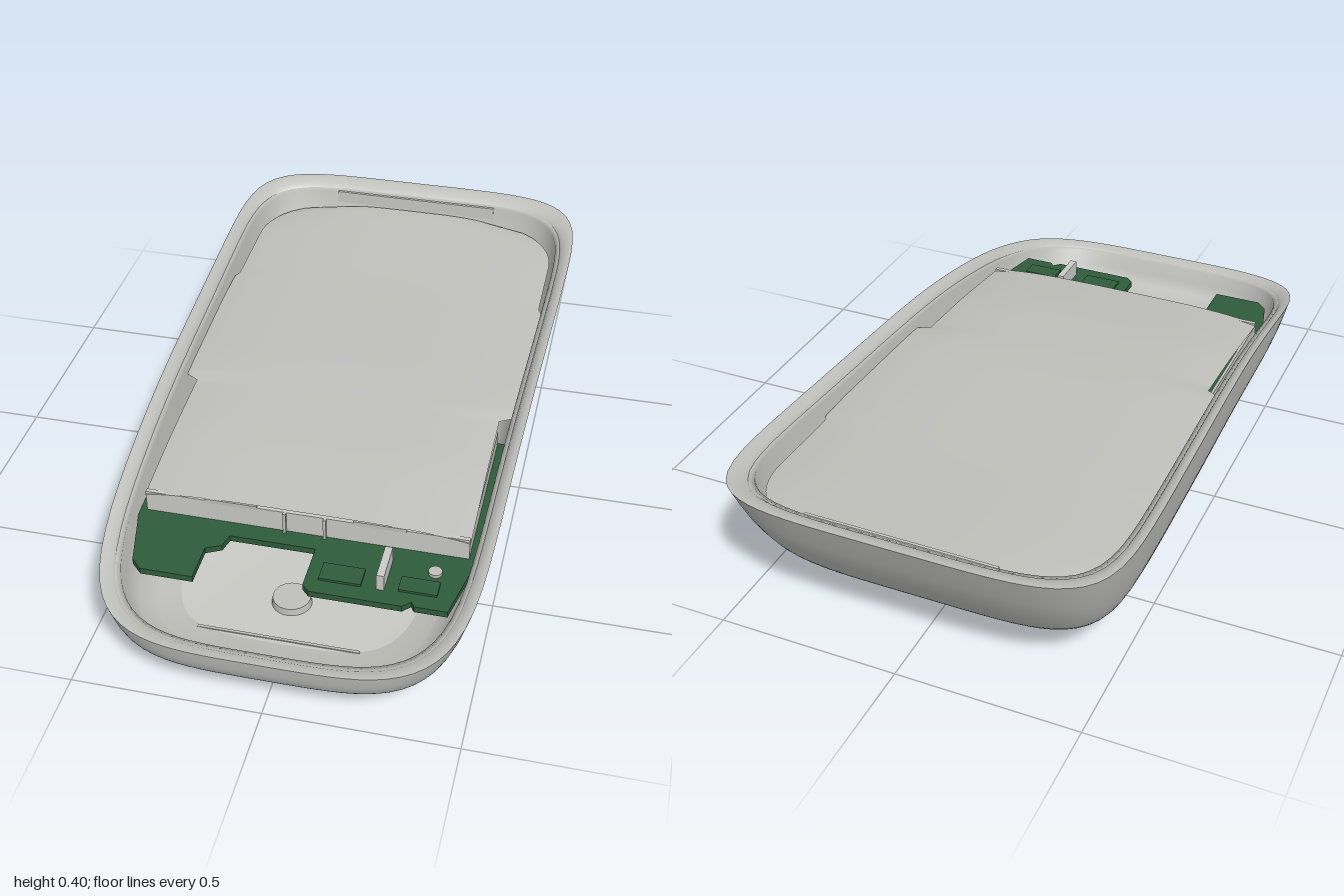
import * as THREE from 'three';

const mat = (name, color, side = THREE.FrontSide) => {
  const m = new THREE.MeshStandardMaterial({ color, side });
  m.name = name;
  return m;
};

// Piecewise-linear lookup through [position, value] pairs, smoothed at the knots
const lookup = (pairs) => {
  const curve = (z) => {
    if (z <= pairs[0][0]) return pairs[0][1];
    for (let i = 1; i < pairs.length; i++) {
      const [z0, y0] = pairs[i - 1], [z1, y1] = pairs[i];
      if (z <= z1) return y0 + ((y1 - y0) * (z - z0)) / (z1 - z0);
    }
    return pairs[pairs.length - 1][1];
  };
  return (z) => (curve(z - 0.08) + curve(z - 0.04) * 2 + curve(z) * 2 + curve(z + 0.04) * 2 + curve(z + 0.08)) / 8;
};

const rimY = lookup([[-1.1, 0.406], [-0.85, 0.386], [-0.5, 0.373], [0, 0.358], [0.2, 0.346],
  [0.4, 0.319], [0.6, 0.279], [0.8, 0.225], [1.1, 0.143]]);
const floorY = lookup([[-1, 0.115], [-0.8, 0.08], [-0.6, 0.053], [-0.4, 0.035], [0, 0.019], [0.6, 0.025], [1, 0.044]]);
const trayY = lookup([[-0.95, 0.335], [-0.5, 0.325], [0, 0.32], [0.3, 0.303], [0.65, 0.262]]);

// Rounded, tapered plan outline sampled evenly around a square path; squarer at the back
function planOutline(perSide = 28) {
  const pts = [];
  for (let i = 0; i < perSide * 4; i++) {
    const side = Math.floor(i / perSide), t = ((i % perSide) / perSide) * 2 - 1;
    const [px, pz] = [[1, t], [-t, 1], [-1, -t], [t, -1]][side];
    const [ex, ez] = pz > 0 ? [4, 8] : [5, 10];
    let lo = 0.5, hi = 1;
    for (let k = 0; k < 24; k++) {
      const r = (lo + hi) / 2;
      if (Math.abs(r * px) ** ex + Math.abs(r * pz) ** ez > 1) hi = r; else lo = r;
    }
    const z = lo * pz;
    pts.push([lo * px * (0.521 - 0.03 * z), z]);
  }
  return pts;
}

// Adds in-between levels along a smooth curve
function refine(levels, steps = 4) {
  const spline = new THREE.CubicInterpolant(levels.map((_, i) => i), levels.flat(), levels[0].length);
  return Array.from({ length: (levels.length - 1) * steps + 1 }, (_, i) => Array.from(spline.evaluate(i / steps)));
}

// Rings through levels of [side scale, front scale, back scale, height fraction, lift]
function loft(levels, inward) {
  const outline = planOutline(), n = outline.length, pos = [], idx = [];
  for (const [sx, sf, sb, h, lift = 0] of levels) {
    for (const [x, z] of outline) {
      const zz = z * (z > 0 ? sf : sb), base = floorY(zz) + lift;
      pos.push(x * sx, base + h * (rimY(z) - base), zz);
    }
  }
  for (let l = 0; l < levels.length - 1; l++) {
    for (let i = 0; i < n; i++) {
      const a = l * n + i, an = l * n + ((i + 1) % n), b = a + n, bn = an + n;
      if (inward) idx.push(a, b, an, an, b, bn);
      else idx.push(a, an, b, an, bn, b);
    }
  }
  return surface(pos, idx);
}

function surface(pos, idx) {
  const g = new THREE.BufferGeometry();
  g.setAttribute('position', new THREE.Float32BufferAttribute(pos, 3));
  g.setIndex(idx);
  g.computeVertexNormals();
  return g;
}

// Gently crowned cover, narrower at the front and rounded at the back
function trayGeometry() {
  const pos = [], idx = [], rows = 60, cols = 20;
  for (let r = 0; r <= rows; r++) {
    const z = -0.925 + 1.475 * (r / rows);
    const corner = Math.max(0, (-0.72 - z) / 0.205);
    const side = z > 0.07 ? 0.437 : z > -0.48 ? 0.482 : 0.472;
    const w = side - 0.2 * (1 - Math.sqrt(Math.max(0, 1 - corner * corner)));
    for (let c = 0; c <= cols; c++) {
      const u = (c / cols) * 2 - 1;
      pos.push(u * w, trayY(z) - 0.02 * u ** 4, z);
    }
  }
  const n = cols + 1;
  for (let r = 0; r < rows; r++) {
    for (let c = 0; c < cols; c++) {
      const a = r * n + c;
      idx.push(a, a + n, a + 1, a + 1, a + n, a + n + 1);
    }
  }
  return surface(pos, idx);
}

export function createModel() {
  const model = new THREE.Group();
  const grey = mat('shell grey', 0xbfc0bc, THREE.DoubleSide);
  const pale = mat('pale inner grey', 0xcacbc7, THREE.DoubleSide);
  const green = mat('board green', 0x2f5c3b);

  const add = (name, geo, material, x = 0, y = 0, z = 0) => {
    const m = new THREE.Mesh(geo, material);
    m.name = name;
    m.position.set(x, y, z);
    model.add(m);
  };
  const box = (name, material, w, h, d, x, y, z) =>
    add(name, new THREE.BoxGeometry(w, h, d), material, x, y, z);

  // Outer shell, from rim to underside
  add('outerShell', loft(refine([
    [1, 1, 1, 1], [0.978, 0.996, 0.977, 0.8], [0.953, 0.99, 0.951, 0.6], [0.921, 0.977, 0.917, 0.4],
    [0.875, 0.95, 0.878, 0.22], [0.805, 0.91, 0.835, 0.11], [0.68, 0.82, 0.75, 0.045],
    [0.45, 0.6, 0.5, 0.014], [0.2, 0.3, 0.25, 0.003], [0, 0, 0, 0],
  ]), false), grey);

  // Rim lip and inner wall
  add('rimLip', loft([
    [1, 1, 1, 1], [0.975, 0.99, 0.985, 1], [0.945, 0.972, 0.96, 0.965], [0.935, 0.966, 0.95, 0.93],
  ], true), grey);
  add('innerWall', loft([
    [0.935, 0.966, 0.95, 0.93], [0.91, 0.952, 0.938, 0.92], [0.9, 0.945, 0.925, 0.6],
    [0.84, 0.92, 0.87, 0.25, 0.02], [0.76, 0.88, 0.82, 0.13, 0.02], [0.66, 0.82, 0.74, 0.07, 0.02],
  ], true), grey);
  add('innerFloor', loft([
    [0.66, 0.82, 0.74, 0.07, 0.02], [0.4, 0.5, 0.5, 0.03, 0.02], [0, 0, 0, 0, 0.02],
  ], true), pale);

  // Cover tray with its front wall, side walls, ribs and clips
  add('tray', trayGeometry(), grey);
  box('trayFrontWall', pale, 0.87, 0.064, 0.012, 0, 0.231, 0.542);
  for (const s of [-1, 1]) {
    box('traySideWall', grey, 0.008, 0.052, 0.47, s * 0.431, 0.226, 0.31);
    box('trayRib', grey, 0.008, 0.066, 0.012, s * 0.054, 0.231, 0.552);
    box('trayClip', grey, 0.14, 0.012, 0.025, s * 0.2, 0.263, 0.537);
  }
  box('backRecess', pale, 0.52, 0.038, 0.008, 0, 0.356, -0.932);

  // Circuit board with a notch, outline drawn as x and z
  const outline = [[-0.465, 0.06], [0.465, 0.06], [0.455, 0.56], [0.415, 0.75], [0.33, 0.75], [0.32, 0.735],
    [0.3, 0.755], [0.06, 0.755], [0.04, 0.735], [0.04, 0.6], [-0.19, 0.6], [-0.2, 0.64], [-0.24, 0.66],
    [-0.24, 0.77], [-0.38, 0.77], [-0.41, 0.74], [-0.455, 0.56]];
  const shape = new THREE.Shape(outline.map(([x, z]) => new THREE.Vector2(x, z)));
  const board = new THREE.ExtrudeGeometry(shape, { depth: 0.018, bevelEnabled: false });
  board.rotateX(Math.PI / 2);
  add('circuitBoard', board, green, 0, 0.2, 0);

  // Small parts on the board
  box('switchLever', pale, 0.02, 0.05, 0.11, 0.235, 0.223, 0.655);
  box('switchBody', green, 0.11, 0.008, 0.06, 0.13, 0.203, 0.68);
  box('connector', green, 0.1, 0.008, 0.05, 0.33, 0.203, 0.68);
  add('boardPin', new THREE.CylinderGeometry(0.018, 0.018, 0.01, 16), grey, 0.36, 0.204, 0.62);

  // Floor post and ledge in front of the board
  add('floorPost', new THREE.CylinderGeometry(0.05, 0.055, 0.035, 28), grey, -0.01, 0.06, 0.66);
  box('floorLedge', grey, 0.43, 0.012, 0.008, -0.01, 0.06, 0.805);

  // Round foot under the front
  const foot = [[0, 0], [0.065, 0], [0.079, 0.004], [0.086, 0.014], [0.085, 0.022], [0.078, 0.03], [0.074, 0.042], [0, 0.042]];
  add('foot', new THREE.LatheGeometry(foot.map(([r, y]) => new THREE.Vector2(r, y)), 40), grey, 0, 0, 0.655);

  return model;
}
